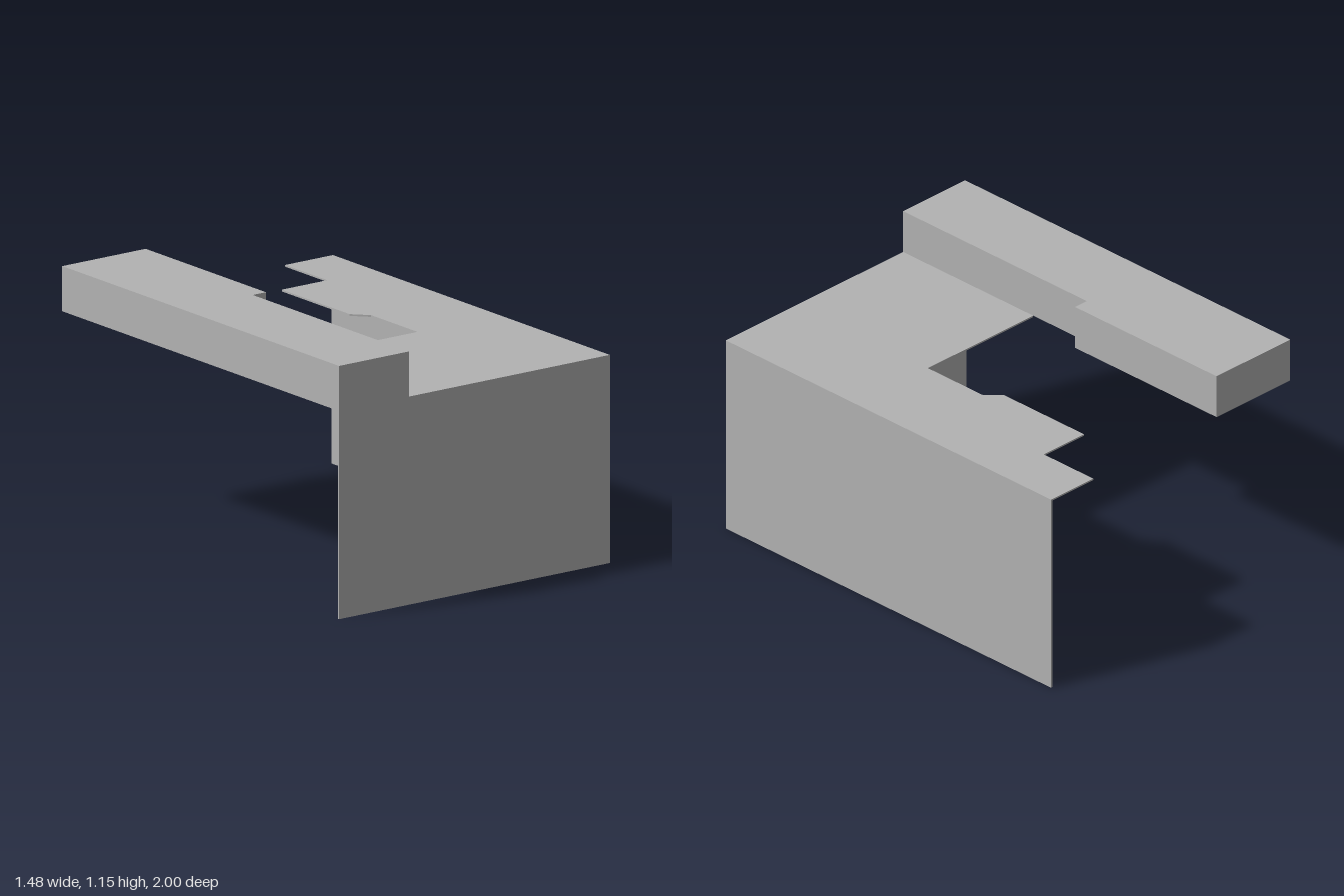
import * as THREE from 'three';

const HALF_W = 0.742, TOP = 0.945, BAR_TOP = 1.15, SHEET = 0.008;

export function createModel() {
  const group = new THREE.Group();
  const grey = new THREE.MeshStandardMaterial({ color: 0xb2b2b2 });
  grey.name = 'grey';

  const add = (name, geometry) => {
    const mesh = new THREE.Mesh(geometry, grey);
    mesh.name = name;
    group.add(mesh);
    return mesh;
  };

  // Flat plan outline of [x, z] points, raised from y0 to y1
  const slab = (name, plan, y0, y1) => {
    const shape = new THREE.Shape(plan.map(([x, z]) => new THREE.Vector2(x, -z)));
    const geometry = new THREE.ExtrudeGeometry(shape, { depth: y1 - y0, bevelEnabled: false });
    geometry.rotateX(-Math.PI / 2).translate(0, y0, 0);
    return add(name, geometry);
  };

  // Thin worktop with a stepped cut-out open to the back
  const innerX = HALF_W - SHEET, innerZ = 1 - SHEET;
  slab('worktop', [
    [-0.358, innerZ], [innerX, innerZ], [innerX, -1], [0.48, -1],
    [0.48, -0.695], [0.23, -0.695], [0.23, -0.205], [0.295, -0.135],
    [0.295, 0.2], [-0.358, 0.2],
  ], TOP - SHEET, TOP);

  // Raised bar along the right side, wider towards the back
  slab('raisedBar', [
    [-HALF_W, 1], [-0.358, 1], [-0.358, -0.13], [-0.285, -0.13],
    [-0.285, -1], [-HALF_W, -1],
  ], TOP, BAR_TOP);

  // Thin panels down to the floor
  add('frontPanel', new THREE.BoxGeometry(2 * HALF_W, TOP, SHEET))
    .position.set(0, TOP / 2, 1 - SHEET / 2);
  add('leftPanel', new THREE.BoxGeometry(SHEET, TOP, 2 - SHEET))
    .position.set(HALF_W - SHEET / 2, TOP / 2, -SHEET / 2);

  return group;
}
